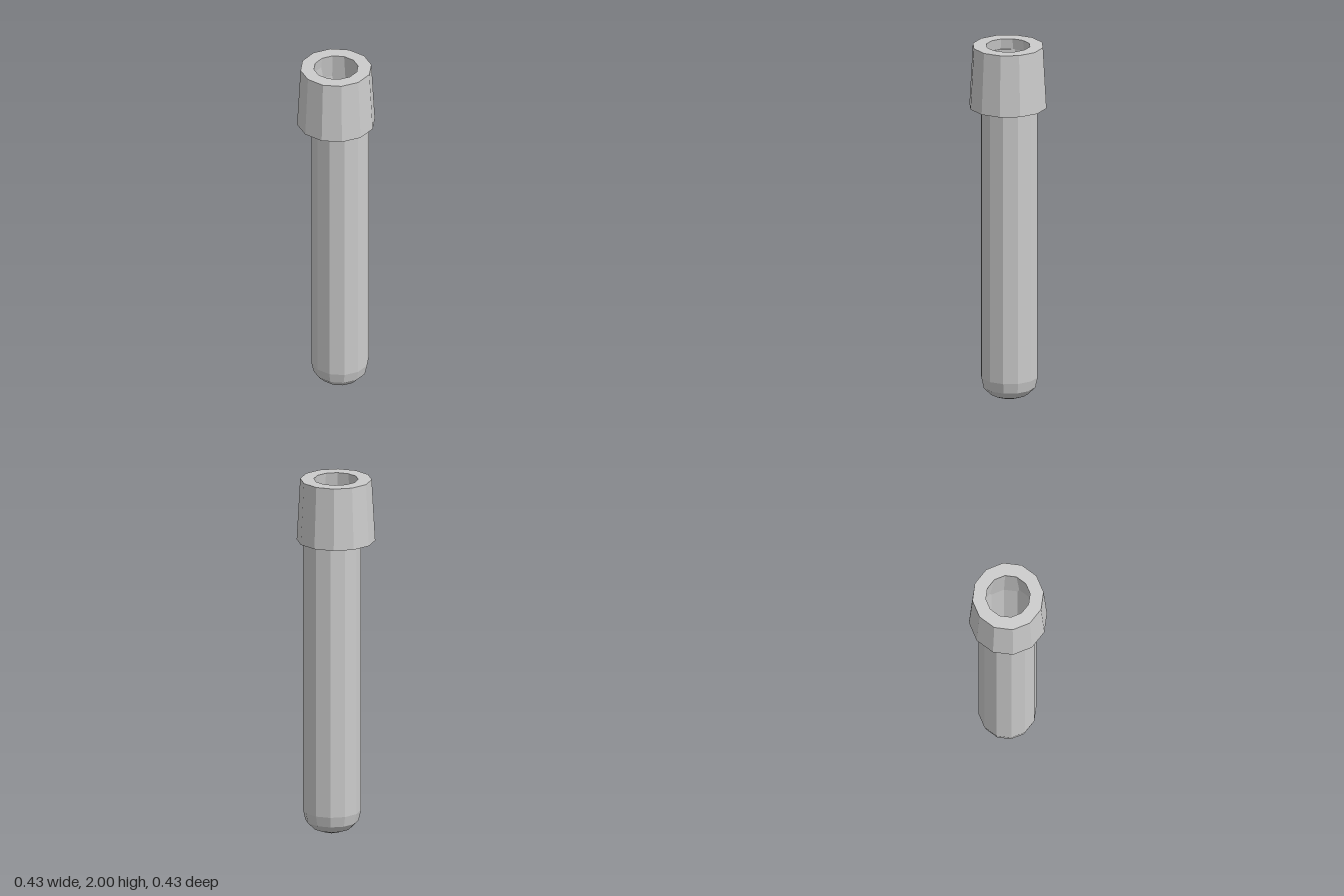
import * as THREE from 'three';

const SIDES = 12;

// Spins a [radius, height] profile into a faceted solid.
// Profiles run up the outside and back down the inside.
function lathe(name, profile, material) {
  const points = profile.map(([r, y]) => new THREE.Vector2(r, y));
  const mesh = new THREE.Mesh(new THREE.LatheGeometry(points, SIDES), material);
  mesh.name = name;
  return mesh;
}

export function createModel() {
  const group = new THREE.Group();
  group.name = 'testTube';
  const material = new THREE.MeshStandardMaterial({ color: 0xcccccc, flatShading: true });

  // Hollow tube with a rounded bottom, sitting slightly off-centre in its cap
  const tube = lathe('tube', [
    [0, 0], [0.05, 0.006], [0.105, 0.027], [0.145, 0.067], [0.158, 0.125],
    [0.158, 1.94], [0.145, 1.94],
    [0.137, 0.135], [0.125, 0.085], [0.09, 0.048], [0.045, 0.03], [0, 0.025],
  ], material);
  tube.position.x = 0.022;
  group.add(tube);

  // Tapered collar cap, open at the top and hollow underneath
  group.add(lathe('cap', [
    [0.165, 1.655], [0.214, 1.655], [0.195, 2], [0.121, 2], [0.165, 1.655],
  ], material));

  return group;
}
